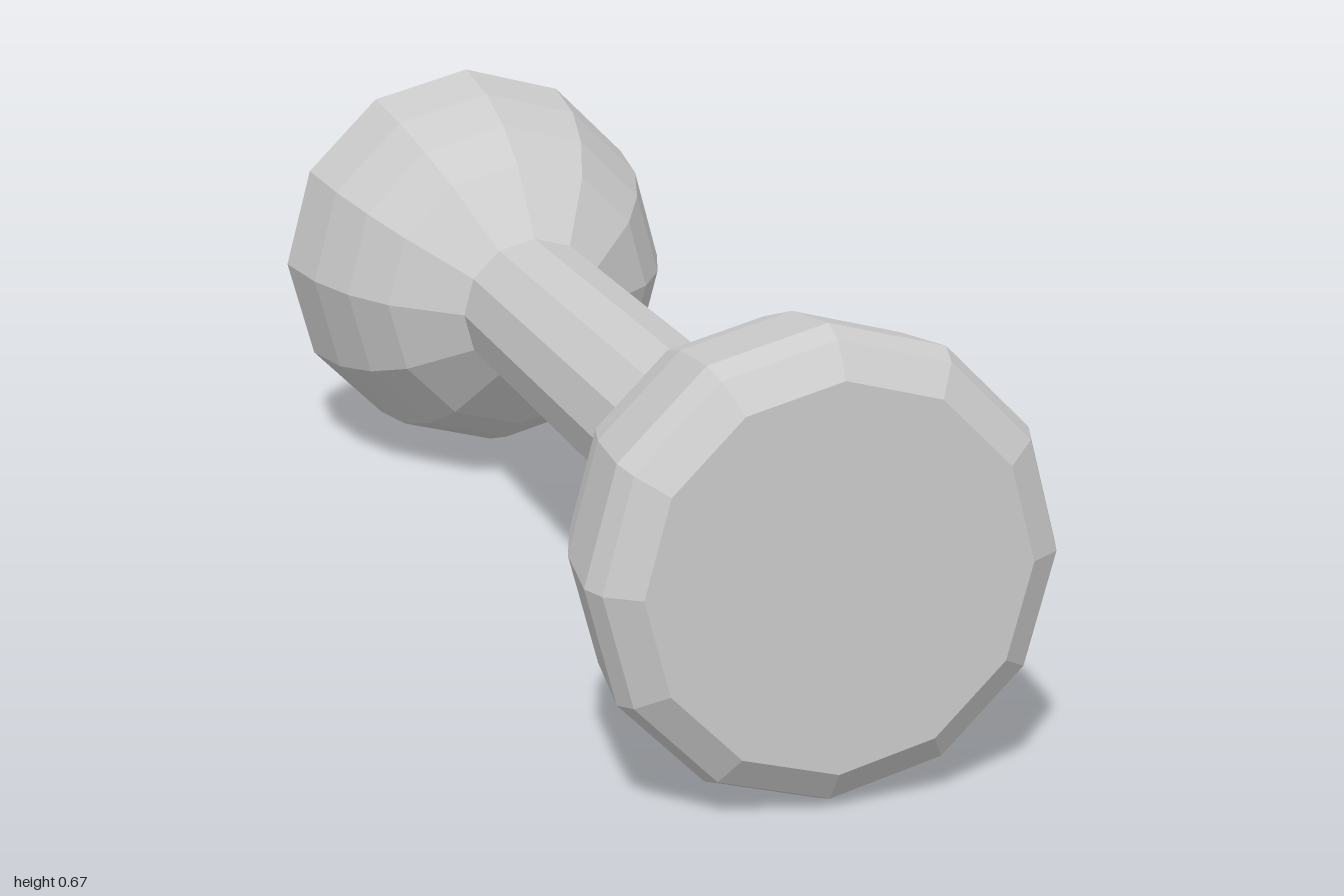
import * as THREE from 'three';

const SIDES = 12;
const RADIUS = 0.336;
const GRIP = 0.125;

export function createModel() {
  const model = new THREE.Group();
  model.name = 'dumbbell';
  const material = new THREE.MeshStandardMaterial({ color: 0xcccccc, flatShading: true });

  // Straight twelve-sided grip along z
  const handle = new THREE.Mesh(
    new THREE.CylinderGeometry(GRIP, GRIP, 0.97, SIDES, 1, true).rotateX(Math.PI / 2), material);
  handle.name = 'handle';
  handle.position.y = RADIUS;
  model.add(handle);

  // Flared weight: [radius, distance from the middle], closed by a flat end
  const profile = [
    [GRIP, 0.485], [0.232, 0.59], [0.282, 0.68], [0.317, 0.79],
    [RADIUS, 0.93], [0.322, 0.967], [0.275, 1], [0, 1],
  ].map(([r, d]) => new THREE.Vector2(r, d));
  const weight = new THREE.LatheGeometry(profile, SIDES);

  for (const [name, side] of [['frontWeight', 1], ['backWeight', -1]]) {
    const mesh = new THREE.Mesh(weight, material);
    mesh.name = name;
    mesh.rotation.x = side * Math.PI / 2;
    mesh.position.y = RADIUS;
    model.add(mesh);
  }
  return model;
}
